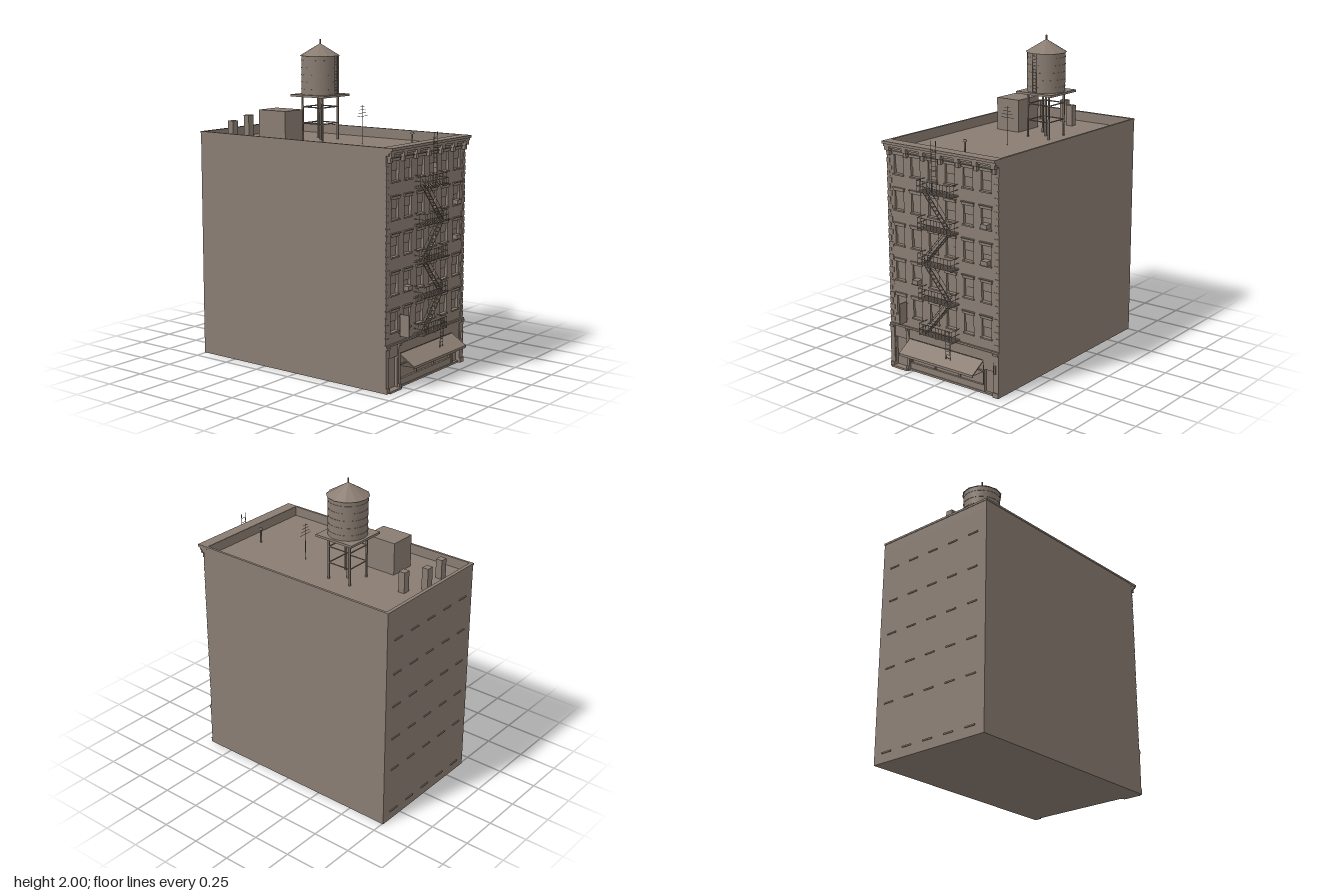
import * as THREE from 'three';

const brick = new THREE.MeshStandardMaterial({ color: 0x8a7d72 });
brick.name = 'brickBrown';

export function createModel() {
  const model = new THREE.Group();
  model.name = 'apartmentBuilding';

  const group = (name) => {
    const g = new THREE.Group();
    g.name = name;
    model.add(g);
    return g;
  };
  const add = (parent, name, geo, x = 0, y = 0, z = 0) => {
    const m = new THREE.Mesh(geo, brick);
    m.name = name;
    m.position.set(x, y, z);
    parent.add(m);
    return m;
  };
  // box given by its minimum and maximum corners
  const box = (parent, name, x0, x1, y0, y1, z0, z1) =>
    add(parent, name, new THREE.BoxGeometry(x1 - x0, y1 - y0, z1 - z0), (x0 + x1) / 2, (y0 + y1) / 2, (z0 + z1) / 2);
  // thin round bar between two points
  const bar = (parent, name, a, b, r = 0.002) => {
    const p = new THREE.Vector3(...a), d = new THREE.Vector3(...b).sub(p);
    const m = add(parent, name, new THREE.CylinderGeometry(r, r, d.length(), 6));
    m.position.copy(p).addScaledVector(d, 0.5);
    m.quaternion.setFromUnitVectors(new THREE.Vector3(0, 1, 0), d.normalize());
    return m;
  };
  const rect = (C, x0, x1, y0, y1) => {
    const s = new C();
    s.moveTo(x0, y0); s.lineTo(x1, y0); s.lineTo(x1, y1); s.lineTo(x0, y1); s.closePath();
    return s;
  };

  const W = 0.42, FRONT = 0.66, ROOF = 1.37, TOP = 1.43;
  const columns = [-0.33, -0.199, -0.066, 0.064, 0.196, 0.327];
  const rows = [0.355, 0.575, 0.798, 1.015, 1.235];

  // Main block and roof parapet
  const shell = group('shell');
  box(shell, 'mainBlock', -W, W, 0, ROOF, -0.757, 0.63);
  const ring = rect(THREE.Shape, -W, W, -0.63, 0.757);
  ring.holes.push(rect(THREE.Path, -0.41, 0.41, -0.628, 0.74));
  const parapet = add(shell, 'parapet', new THREE.ExtrudeGeometry(ring, { depth: TOP - ROOF, bevelEnabled: false }), 0, ROOF, 0);
  parapet.rotation.x = -Math.PI / 2;
  const rim = rect(THREE.Shape, -0.423, 0.423, -0.66, 0.76);
  rim.holes.push(rect(THREE.Path, -0.408, 0.408, -0.63, 0.738));
  const coping = add(shell, 'coping', new THREE.ExtrudeGeometry(rim, { depth: 0.012, bevelEnabled: false }), 0, 1.42, 0);
  coping.rotation.x = -Math.PI / 2;

  // Front wall with window, shop and door openings
  const wall = rect(THREE.Shape, -W, W, 0, 1.425);
  for (const y of rows) for (const x of columns) {
    wall.holes.push(rect(THREE.Path, x - 0.035, x + 0.035, y, y + 0.115));
  }
  wall.holes.push(rect(THREE.Path, -0.385, -0.295, 0.012, 0.2));
  wall.holes.push(rect(THREE.Path, -0.27, 0.3, 0.012, 0.21));
  wall.holes.push(rect(THREE.Path, 0.31, 0.375, 0.012, 0.155));
  add(shell, 'frontWall', new THREE.ExtrudeGeometry(wall, { depth: 0.03, bevelEnabled: false }), 0, 0, 0.63);

  // Windows with sashes, sills and lintels
  const windows = group('windows');
  for (const y of rows) for (const x of columns) {
    box(windows, 'lowerSash', x - 0.035, x + 0.035, y, y + 0.058, 0.628, 0.642);
    box(windows, 'upperSash', x - 0.035, x + 0.035, y + 0.058, y + 0.115, 0.628, 0.648);
    box(windows, 'sill', x - 0.041, x + 0.041, y - 0.009, y, 0.64, 0.669);
    box(windows, 'lintel', x - 0.043, x + 0.043, y + 0.116, y + 0.132, 0.65, 0.667);
    box(windows, 'lintelCap', x - 0.047, x + 0.047, y + 0.132, y + 0.138, 0.65, 0.673);
  }
  for (const [x, y] of [[0.327, 1.017], [0.327, 0.8], [-0.199, 0.577]]) {
    box(windows, 'airConditioner', x - 0.023, x + 0.023, y, y + 0.027, 0.64, 0.685);
  }

  // Alternating corner stones
  const quoins = group('quoins');
  for (let i = 0; i < 26; i++) for (const s of [-1, 1]) {
    const w = i % 2 ? 0.022 : 0.036, y = 0.295 + i * 0.04;
    box(quoins, 'quoin', s > 0 ? W - w : -W, s > 0 ? W : -W + w, y, y + 0.03, 0.65, 0.664);
  }

  // Cornice
  const cornice = group('cornice');
  box(cornice, 'corniceTop', -0.423, 0.423, 1.416, 1.432, 0.63, 0.703);
  box(cornice, 'corniceStep', -0.421, 0.421, 1.4, 1.416, 0.64, 0.692);
  box(cornice, 'frieze', -0.42, 0.42, 1.386, 1.4, 0.64, 0.676);
  for (let i = -3; i <= 3; i++) {
    const x = i * 0.132;
    box(cornice, 'bracketHead', x - 0.017, x + 0.017, 1.375, 1.402, 0.65, 0.69);
    box(cornice, 'bracketFoot', x - 0.011, x + 0.011, 1.345, 1.375, 0.65, 0.68);
  }

  // Ground floor shopfront
  const shop = group('shopfront');
  box(shop, 'beltCourse', -W, W, 0.275, 0.286, 0.65, 0.672);
  box(shop, 'signBand', -0.27, 0.395, 0.215, 0.27, 0.65, 0.664);
  for (const [x0, x1] of [[-0.42, -0.388], [-0.292, -0.272], [0.378, 0.42]]) {
    box(shop, 'pilaster', x0, x1, 0, 0.262, 0.65, 0.668);
    box(shop, 'pilasterBase', x0, x1, 0, 0.03, 0.65, 0.675);
    box(shop, 'pilasterCap', x0, x1, 0.262, 0.275, 0.65, 0.678);
  }
  box(shop, 'sideBracket', 0.392, 0.402, 0.15, 0.2, 0.66, 0.68);
  box(shop, 'step', -0.4, -0.28, 0, 0.012, 0.65, 0.685);
  box(shop, 'shopPlinth', -0.27, 0.3, 0.012, 0.05, 0.628, 0.655);
  box(shop, 'shopGlass', -0.27, 0.3, 0.05, 0.21, 0.628, 0.642);
  for (const x of [-0.265, -0.08, 0.11, 0.295]) box(shop, 'mullion', x - 0.005, x + 0.005, 0.05, 0.21, 0.64, 0.652);
  box(shop, 'transom', -0.27, 0.3, 0.13, 0.138, 0.64, 0.65);
  box(shop, 'entranceDoor', -0.385, -0.295, 0.012, 0.2, 0.628, 0.642);
  box(shop, 'sideDoor', 0.31, 0.375, 0.012, 0.155, 0.628, 0.642);
  const slope = new THREE.Shape([[0.66, 0.208], [0.762, 0.146], [0.762, 0.131], [0.757, 0.131], [0.757, 0.142], [0.66, 0.2]]
    .map(([z, y]) => new THREE.Vector2(-z, y)));
  const awning = add(shop, 'awning', new THREE.ExtrudeGeometry(slope, { depth: 0.57, bevelEnabled: false }), -0.27, 0, 0);
  awning.rotation.y = Math.PI / 2;
  for (const x of [-0.265, 0.295]) bar(shop, 'awningArm', [x, 0.135, 0.66], [x, 0.14, 0.757]);

  // Projecting blade sign
  const sign = group('bladeSign');
  box(sign, 'signPanel', -0.286, -0.279, 0.318, 0.45, 0.672, 0.735);
  for (const y of [0.335, 0.435]) bar(sign, 'signArm', [-0.2825, y, 0.655], [-0.2825, y, 0.69]);

  // Fire escape: platforms with railings
  const escape = group('fireEscape');
  const levels = [0.295, 0.518, 0.735, 0.952, 1.175];
  const X0 = -0.127, X1 = 0.122, ZO = 0.734;
  for (const y of levels) {
    for (let i = 0; i < 6; i++) box(escape, 'platformSlat', X0, X1, y - 0.002, y + 0.003, 0.66 + i * 0.0128, 0.668 + i * 0.0128);
    for (const x of [X0, 0, X1]) box(escape, 'platformBeam', x - 0.003, x + 0.003, y - 0.006, y, 0.65, ZO);
    for (const h of [0.035, 0.068]) {
      bar(escape, 'frontRail', [X0, y + h, ZO], [X1, y + h, ZO]);
      for (const x of [X0, X1]) bar(escape, 'sideRail', [x, y + h, 0.655], [x, y + h, ZO]);
    }
    for (let i = 0; i <= 10; i++) {
      const x = X0 + (X1 - X0) * i / 10;
      bar(escape, 'baluster', [x, y, ZO], [x, y + 0.068, ZO], 0.0014);
    }
    for (const x of [X0, X1]) bar(escape, 'sidePost', [x, y, 0.695], [x, y + 0.068, 0.695], 0.0014);
  }
  // Zigzag stair flights
  for (let i = 0; i < 4; i++) {
    const s = i % 2 ? -1 : 1, a = -0.095 * s, b = 0.095 * s, y0 = levels[i], y1 = levels[i + 1];
    for (const z of [0.688, 0.718]) {
      bar(escape, 'stairStringer', [a, y0, z], [b, y1, z], 0.003);
      bar(escape, 'stairHandrail', [a, y0 + 0.045, z], [b, y1 + 0.045, z], 0.0015);
    }
    for (let k = 1; k < 11; k++) {
      const t = k / 11, x = a + (b - a) * t, y = y0 + (y1 - y0) * t;
      box(escape, 'stairTread', x - 0.007, x + 0.007, y - 0.0015, y + 0.0015, 0.688, 0.718);
    }
  }
  // Drop ladder and roof ladder
  const ladder = (parent, name, xa, xb, y0, y1, z, step = 0.02) => {
    for (const x of [xa, xb]) bar(parent, name + 'Rail', [x, y0, z], [x, y1, z]);
    for (let y = y0 + step / 2; y < y1; y += step) bar(parent, name + 'Rung', [xa, y, z], [xb, y, z], 0.0014);
  };
  ladder(escape, 'dropLadder', 0.068, 0.1, 0.18, 0.36, 0.722);
  ladder(escape, 'roofLadder', -0.024, 0.012, 1.175, 1.49, 0.72, 0.03);

  // Rear window sills
  const rear = group('rearSills');
  for (const y of [0.06, 0.36, 0.578, 0.798, 1.015, 1.237]) for (let i = -2; i <= 2; i++) {
    box(rear, 'rearSill', i * 0.16 - 0.035, i * 0.16 + 0.035, y - 0.004, y + 0.004, -0.763, -0.75);
  }

  // Roof structures
  const roof = group('roofStructures');
  box(roof, 'stairBulkhead', -0.26, -0.09, ROOF, 1.575, -0.415, -0.205);
  for (const [x, z, h] of [[-0.245, -0.645, 1.492], [-0.062, -0.675, 1.512], [0.046, -0.588, 1.502]]) {
    box(roof, 'chimney', x - 0.023, x + 0.023, ROOF, h, z - 0.021, z + 0.021);
  }
  bar(roof, 'ventPipe', [0.058, ROOF, 0.513], [0.058, 1.462, 0.513], 0.006);
  add(roof, 'ventCap', new THREE.CylinderGeometry(0.008, 0.014, 0.012, 10), 0.058, 1.465, 0.513);
  bar(roof, 'antennaMast', [0.075, ROOF, 0.132], [0.075, 1.61, 0.132]);
  [0.05, 0.04, 0.03, 0.02].forEach((w, i) =>
    bar(roof, 'antennaArm', [0.075 - w, 1.54 + i * 0.02, 0.132], [0.075 + w, 1.54 + i * 0.02, 0.132], 0.0014));

  // Water tower
  const tower = group('waterTower');
  tower.position.set(0.108, 0, -0.222);
  const L = 0.079;
  for (const sx of [-1, 1]) for (const sz of [-1, 1]) {
    box(tower, 'leg', sx * L - 0.005, sx * L + 0.005, ROOF, 1.646, sz * L - 0.005, sz * L + 0.005);
  }
  for (const s of [-L, L]) {
    for (const y of [1.475, 1.578]) {
      bar(tower, 'crossBeam', [-L, y, s], [L, y, s], 0.004);
      bar(tower, 'sideBeam', [s, y, -L], [s, y, L], 0.004);
    }
  }
  bar(tower, 'standPipe', [0, ROOF, 0], [0, 1.65, 0], 0.007);
  box(tower, 'platform', -0.133, 0.133, 1.644, 1.658, -0.133, 0.133);
  add(tower, 'tank', new THREE.CylinderGeometry(0.118, 0.118, 0.245, 24), 0, 1.7795, 0);
  for (let i = 0; i < 5; i++) {
    add(tower, 'hoop', new THREE.CylinderGeometry(0.12, 0.12, 0.004, 24), 0, 1.69 + i * 0.045, 0);
  }
  const cone = new THREE.ConeGeometry(0.128, 0.077, 12).toNonIndexed();
  cone.computeVertexNormals();
  add(tower, 'conicalRoof', cone, 0, 1.937, 0);
  bar(tower, 'finial', [0, 1.965, 0], [0, 2, 0], 0.005);
  ladder(tower, 'tankLadder', -0.012, 0.014, 1.655, 1.9, 0.124);

  return model;
}
